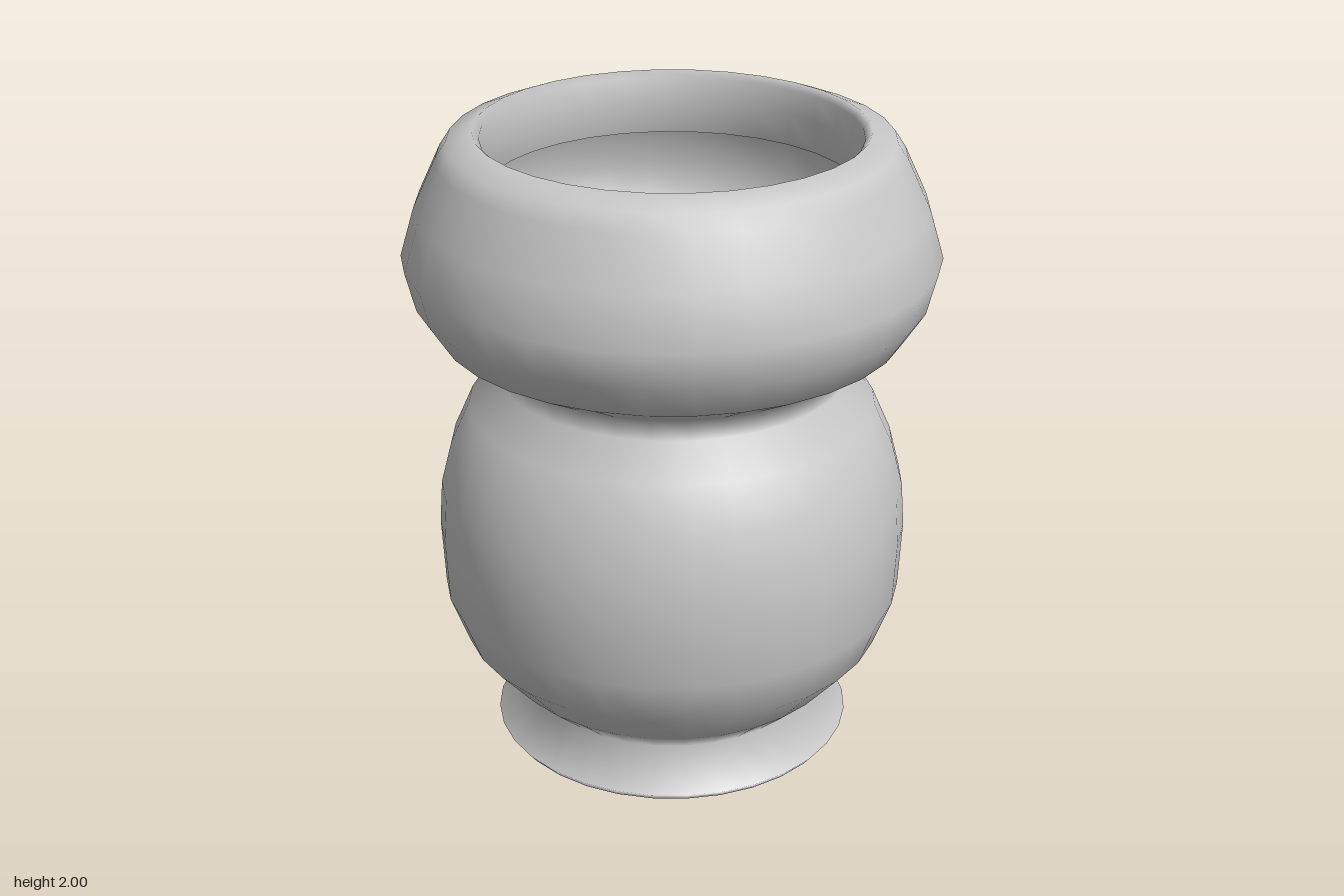
import * as THREE from 'three';

export function createModel() {
  const group = new THREE.Group();
  const clay = new THREE.MeshStandardMaterial({ color: 0xc8c8c8 });
  clay.name = 'plain grey';

  // Outer wall, from the foot up to the rim: [radius, height]
  const outer = [
    [0.55, 0], [0.57, 0.025], [0.445, 0.125], [0.55, 0.22], [0.667, 0.355],
    [0.725, 0.51], [0.735, 0.72], [0.725, 0.86], [0.69, 0.995], [0.63, 1.13],
    [0.54, 1.23], [0.54, 1.295], [0.715, 1.39], [0.785, 1.5], [0.815, 1.62],
    [0.77, 1.77], [0.7, 1.92], [0.667, 1.97], [0.59, 2],
  ];
  // Lip folded down into the bowl
  const lip = [[0.57, 1.98], [0.565, 1.9], [0.57, 1.8], [0.59, 1.8], [0.6, 1.94]];
  // Inner wall of the bowl, neck and body, back down to the foot
  const inner = [
    [0.65, 1.94], [0.74, 1.76], [0.785, 1.62], [0.757, 1.51], [0.695, 1.415],
    [0.52, 1.31], [0.52, 1.215], [0.605, 1.115], [0.66, 0.99], [0.695, 0.86],
    [0.705, 0.72], [0.695, 0.515], [0.64, 0.37], [0.53, 0.242], [0.415, 0.125],
    [0.53, 0.02], [0.55, 0],
  ];

  // One turned shell, open through the middle
  const profile = [...outer, ...lip, ...inner].map(([r, y]) => new THREE.Vector2(r, y));
  const vase = new THREE.Mesh(new THREE.LatheGeometry(profile, 32), clay);
  vase.name = 'vaseShell';
  group.add(vase);
  return group;
}
